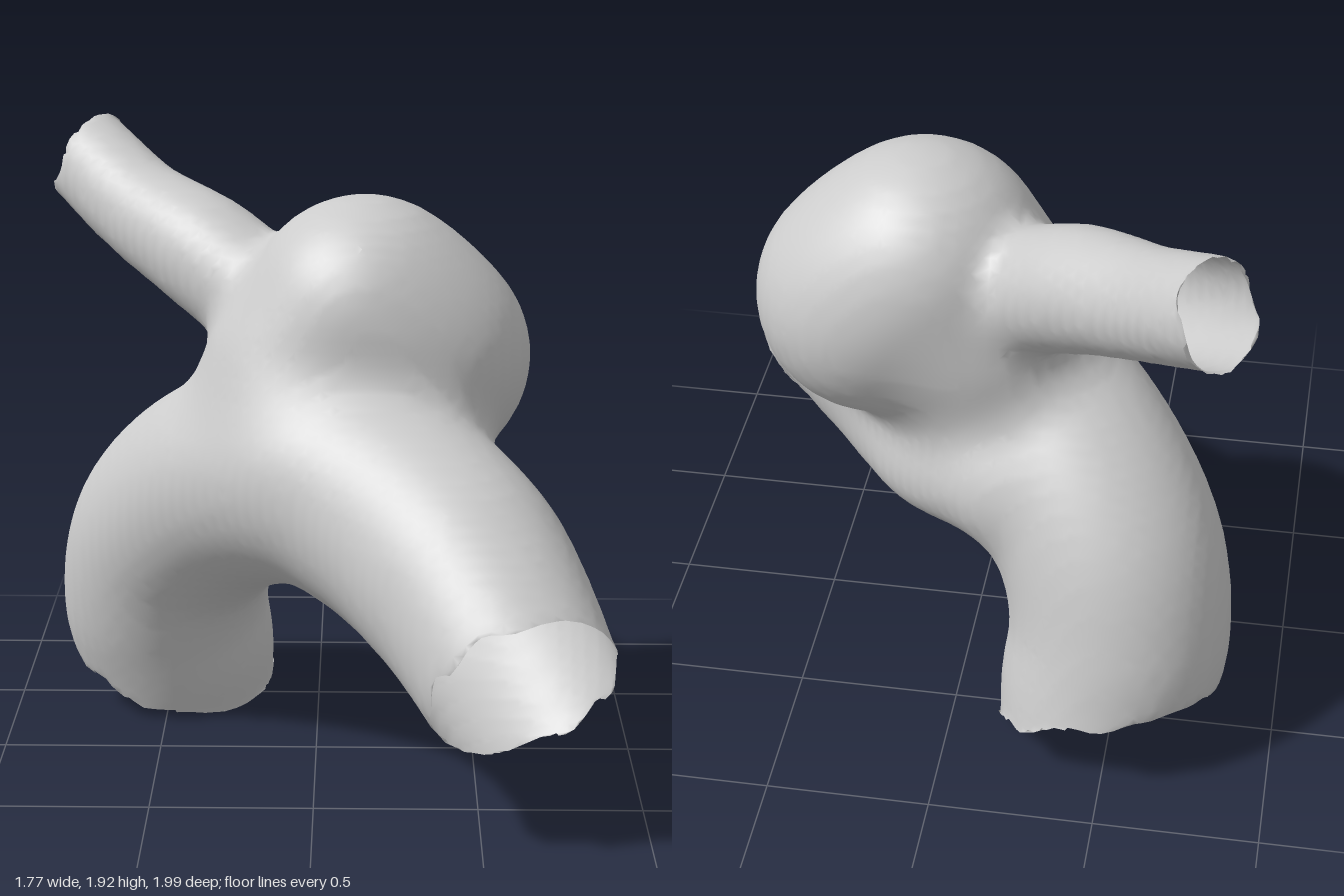
import * as THREE from 'three';
import { mergeVertices } from 'three/addons/utils/BufferGeometryUtils.js';

const V = (x, y, z) => new THREE.Vector3(x, y, z);

// Tube given by control points [x, y, z, radius], sampled into tapered segments
function tube(points, samples) {
  const curve = new THREE.CatmullRomCurve3(points.map(p => V(p[0], p[1], p[2])));
  const rings = [];
  for (let s = 0; s <= samples; s++) {
    const u = s / samples, f = u * (points.length - 1);
    const i = Math.min(Math.floor(f), points.length - 2);
    const p = curve.getPoint(u);
    rings.push([p.x, p.y, p.z, THREE.MathUtils.lerp(points[i][3], points[i + 1][3], f - i)]);
  }
  return (x, y, z) => {
    let best = Infinity;
    for (let i = 0; i < samples; i++) {
      const a = rings[i], b = rings[i + 1];
      const bx = b[0] - a[0], by = b[1] - a[1], bz = b[2] - a[2];
      const px = x - a[0], py = y - a[1], pz = z - a[2];
      let t = (px * bx + py * by + pz * bz) / (bx * bx + by * by + bz * bz);
      t = Math.max(0, Math.min(1, t));
      const d = Math.hypot(px - t * bx, py - t * by, pz - t * bz) - a[3] - t * (b[3] - a[3]);
      if (d < best) best = d;
    }
    return best;
  };
}

const ball = (cx, cy, cz, r) => (x, y, z) => Math.hypot(x - cx, y - cy, z - cz) - r;

// Rounded union of two distances
function blend(a, b, k) {
  const h = Math.max(k - Math.abs(a - b), 0) / k;
  return Math.min(a, b) - h * h * k / 4;
}

// Arched main vessel; first and last points run past the cut ends
const arch = tube([
  [-0.52, -0.18, -0.68, 0.325], [-0.485, 0.16, -0.55, 0.33], [-0.512, 0.36, -0.495, 0.34],
  [-0.465, 0.60, -0.405, 0.345], [-0.28, 0.82, -0.225, 0.35], [0, 0.93, 0.015, 0.36],
  [0.22, 0.875, 0.20, 0.355], [0.43, 0.75, 0.47, 0.34], [0.607, 0.525, 0.805, 0.288],
  [0.73, 0.31, 1.06, 0.28]], 60);

// Low ridge under the inner side of the arch
const ridge = tube([
  [-0.12, 0.80, -0.38, 0.18], [0.08, 0.72, -0.20, 0.185], [0.19, 0.69, -0.05, 0.19],
  [0.34, 0.67, 0.26, 0.22]], 12);
const artery = (x, y, z) => blend(arch(x, y, z), ridge(x, y, z), 0.1);

// Thin side vessel
const branch = tube([
  [-0.10, 1.37, -0.22, 0.19], [-0.36, 1.535, -0.42, 0.188], [-0.58, 1.64, -0.62, 0.163],
  [-0.79, 1.785, -0.86, 0.157], [-0.97, 1.90, -1.06, 0.157]], 24);

// Bulging sac: dome, side bulge and neck
const lobes = [ball(0.15, 1.4, -0.13, 0.375), ball(0.297, 1.275, -0.13, 0.37), ball(0, 1.2, -0.13, 0.36)];
const sac = (x, y, z) => lobes.map(f => f(x, y, z)).reduce((a, b) => blend(a, b, 0.08));

const parts = [['mainVessel', artery], ['sac', sac], ['sideBranch', branch]];
const field = (x, y, z) => blend(blend(artery(x, y, z), sac(x, y, z), 0.12), branch(x, y, z), 0.06);

// Planes [point, outward direction] that cut the vessels open
const cuts = [
  [V(-0.485, 0.14, -0.555), V(-0.28, -1, -0.38)],
  [V(0.61, 0.522, 0.82), V(0.3, -0.51, 0.82)],
  [V(-0.78, 1.78, -0.85), V(-0.8, 0.47, -0.42)]
].map(([p, n]) => new THREE.Plane().setFromNormalAndCoplanarPoint(n.normalize(), p));

// Distance past a cut, with a wavy offset for the ragged rims
const past = (plane, v) => plane.distanceToPoint(v) + 0.015 * Math.sin(23 * v.x + 17 * v.y + 29 * v.z);

// Surface net: one vertex per cell the skin passes through, one quad per crossed grid edge
function buildSkin() {
  const n = 64, N = n + 1, step = 0.035, origin = [-1.12, -0.16, -1.12];
  const stride = [1, N, N * N];
  const values = new Float32Array(N * N * N);
  const vertexAt = new Int32Array(N * N * N).fill(-1);
  const each = (size, fn) => {
    for (let k = 0; k < size; k++) for (let j = 0; j < size; j++) for (let i = 0; i < size; i++) {
      fn([i, j, k], i + j * N + k * N * N);
    }
  };
  each(N, (c, id) => {
    values[id] = field(origin[0] + c[0] * step, origin[1] + c[1] * step, origin[2] + c[2] * step);
  });

  const verts = [];
  const corner = (id, bits) => id + (bits & 1) + ((bits >> 1) & 1) * N + ((bits >> 2) & 1) * N * N;
  each(n, (c, id) => {
    const sum = [0, 0, 0];
    let count = 0;
    for (let a = 0; a < 3; a++) for (let b = 0; b < 8; b++) {
      if (b & (1 << a)) continue;
      const v0 = values[corner(id, b)], v1 = values[corner(id, b | (1 << a))];
      if ((v0 < 0) === (v1 < 0)) continue;
      for (let m = 0; m < 3; m++) sum[m] += m === a ? v0 / (v0 - v1) : (b >> m) & 1;
      count++;
    }
    if (!count) return;
    vertexAt[id] = verts.length;
    verts.push(V(...sum.map((s, m) => origin[m] + (c[m] + s / count) * step)));
  });

  // Pull vertices past a cut back onto it, so the rims close cleanly
  const open = verts.map(v => {
    const plane = cuts.find(p => past(p, v) > 0);
    if (plane) v.addScaledVector(plane.normal, -past(plane, v));
    return Boolean(plane);
  });

  const faces = parts.map(() => []);
  each(n, (c, id) => {
    for (let a = 0; a < 3; a++) {
      const b = (a + 1) % 3, d = (a + 2) % 3;
      const inside = values[id] < 0;
      if (c[b] < 1 || c[d] < 1 || inside === (values[id + stride[a]] < 0)) continue;
      const q = [id, id - stride[b], id - stride[b] - stride[d], id - stride[d]].map(i => vertexAt[i]);
      if (!inside) q.reverse();
      if (q.every(i => open[i])) continue;
      // give the quad to the nearest part
      const p = verts[q[0]];
      const dist = parts.map(([, f]) => f(p.x, p.y, p.z));
      faces[dist.indexOf(Math.min(...dist))].push(q[0], q[1], q[2], q[0], q[2], q[3]);
    }
  });
  return { verts, faces };
}

export function createModel() {
  const group = new THREE.Group();
  group.name = 'vesselWithSac';
  const { verts, faces } = buildSkin();

  // Shared smooth normals keep the joins between parts seamless
  const skin = new THREE.BufferGeometry().setFromPoints(verts);
  skin.setIndex(faces.flat());
  skin.computeVertexNormals();

  const material = new THREE.MeshStandardMaterial({ color: 0xcccccc, side: THREE.DoubleSide });
  parts.forEach(([name], i) => {
    const geometry = skin.clone().setIndex(faces[i]).toNonIndexed();
    const mesh = new THREE.Mesh(mergeVertices(geometry), material);
    mesh.name = name;
    group.add(mesh);
  });
  return group;
}
